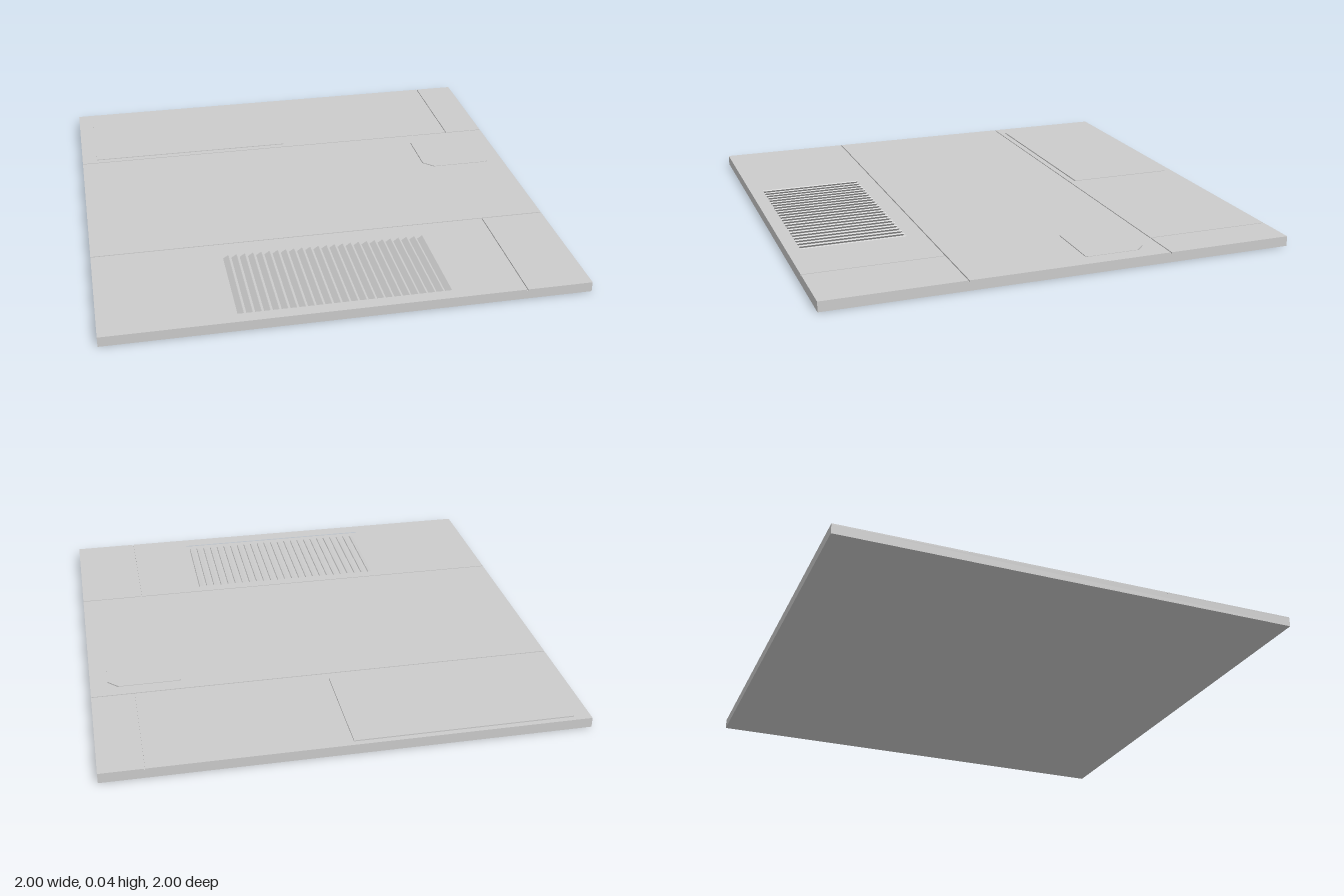
import * as THREE from 'three';

const MAT = new THREE.MeshStandardMaterial({ color: 0xcccccc, flatShading: true });
const TOP = 0.043, SEAM_Y = 0.037, FLOOR_Y = 0.006;

// Outlines are lists of [x, z] seen from above
const rect = (x0, x1, z0, z1) => [[x0, z0], [x1, z0], [x1, z1], [x0, z1]];

// Rectangle with its own cut at each corner: back left, back right, front right, front left
const cutRect = (x0, x1, z0, z1, [a, b, c, d]) => [
  [x0 + a, z0], [x1 - b, z0], [x1, z0 + b], [x1, z1 - c],
  [x1 - c, z1], [x0 + d, z1], [x0, z1 - d], [x0, z0 + a],
];

// Upright slot with rounded ends
function slot(x, z0, z1, r) {
  const pts = [];
  for (let i = 0; i <= 16; i++) {
    const t = Math.PI + (Math.PI * (i > 8 ? i - 1 : i)) / 8;
    const front = i > 8;
    pts.push([x + r * Math.cos(t), (front ? z1 - r : z0 + r) + r * Math.sin(t)]);
  }
  pts.push([x - r, z1 - r]);
  return pts;
}

// Flat plate between two heights, with optional holes
function plate(name, outline, y0, y1, holes = []) {
  const toV = (pts) => pts.map(([x, z]) => new THREE.Vector2(x, -z));
  const shape = new THREE.Shape(toV(outline));
  shape.holes = holes.map((h) => new THREE.Path(toV(h)));
  const geo = new THREE.ExtrudeGeometry(shape, { depth: y1 - y0, bevelEnabled: false });
  geo.rotateX(-Math.PI / 2).translate(0, y0, 0);
  const mesh = new THREE.Mesh(geo, MAT);
  mesh.name = name;
  return mesh;
}

export function createModel() {
  const group = new THREE.Group();
  group.name = 'floorPanel';
  const vent = rect(-0.464, 0.45, 0.464, 0.945);

  // Solid floor, and the core with the vent well cut through it
  group.add(plate('floor', rect(-1, 1, -1, 1), 0, FLOOR_Y));
  group.add(plate('core', rect(-1, 1, -1, 1), FLOOR_Y, SEAM_Y, [vent]));

  // Surface panels, parted by narrow seams
  const g = 0.0025;
  const backZ = -0.454, frontZ = 0.412, backX = 0.82, frontX = 0.722;
  const skin = (name, outline, holes) => group.add(plate(name, outline, SEAM_Y, TOP, holes));
  const doorEdge = rect(-0.938, -0.003, -0.977, -0.483);
  const coverEdge = (i) => cutRect(0.61 + i, 0.93 - i, -0.39 + i, -0.108 - i, [0.01, 0.045, 0.01, 0.045]);

  skin('backPanel', rect(-1, backX - g, -1, backZ - g), [doorEdge]);
  skin('backLeftPanel', rect(backX + g, 1, -1, backZ - g));
  skin('middlePanel', rect(-1, 1, backZ + g, frontZ - g), [coverEdge(0)]);
  skin('frontPanel', rect(-1, frontX - g, frontZ + g, 1), [vent]);
  skin('frontLeftPanel', rect(frontX + g, 1, frontZ + g, 1));

  // Hatch door with its grip slot, and the small access cover
  skin('hatchDoor', rect(-0.931, -0.01, -0.97, -0.49), [slot(-0.05, -0.815, -0.645, 0.011)]);
  skin('accessCover', coverEdge(0.004));

  // Vent: inner rim and a row of tilted slats
  const grille = new THREE.Group();
  grille.name = 'ventGrille';
  const inner = rect(-0.452, 0.438, 0.476, 0.933);
  grille.add(plate('ventRim', vent, FLOOR_Y, 0.024, [inner]));
  const count = 25, pitch = 0.89 / count;
  const slatGeo = new THREE.BoxGeometry(0.026, 0.005, 0.457);
  for (let i = 0; i < count; i++) {
    const slat = new THREE.Mesh(slatGeo, MAT);
    slat.name = 'ventSlat';
    slat.position.set(-0.452 + pitch * (i + 0.5), 0.0155, 0.7045);
    slat.rotation.z = 0.6;
    grille.add(slat);
  }
  group.add(grille);
  return group;
}
